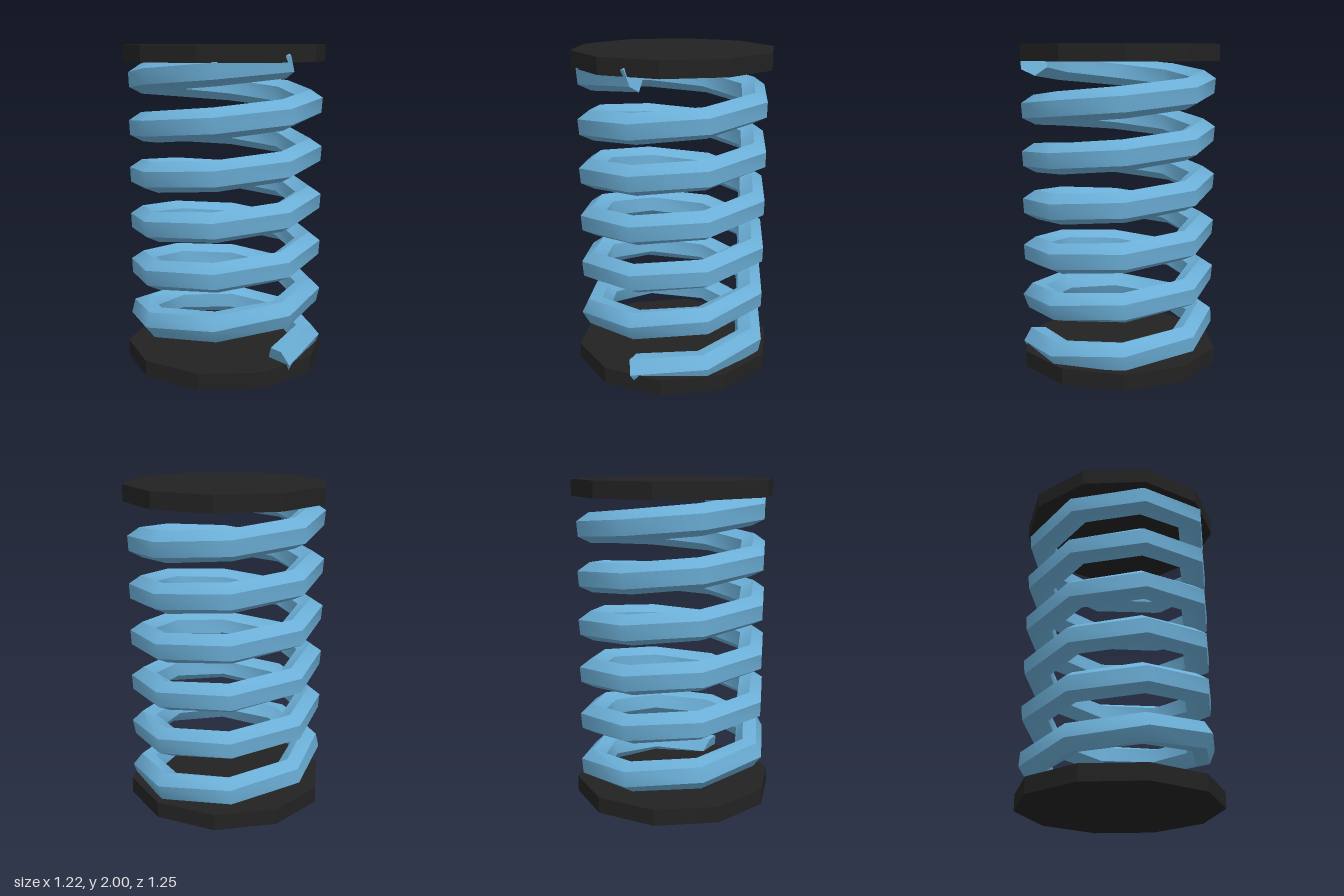
import * as THREE from 'three';
import { toCreasedNormals } from 'three/addons/utils/BufferGeometryUtils.js';

const plateColor = new THREE.MeshStandardMaterial({ name: 'charcoal', color: 0x222222 });
const coilColor = new THREE.MeshStandardMaterial({ name: 'springBlue', color: 0x6baed6 });

const TURNS = 6, STEPS = 8, SIDES = 6;      // eight straight runs per turn, six-sided wire
const COIL_R = 0.525, WIRE_R = 0.092, PITCH = 0.3, BASE = 0.1;

// Helical wire: hexagonal rings in radial planes, rolling over the first turn
function coilGeometry() {
  const rings = TURNS * STEPS, pos = [], index = [];
  for (let i = 0; i <= rings; i++) {
    const a = (i / STEPS) * Math.PI * 2;
    const roll = Math.min(a / (2.5 * Math.PI), 1) * THREE.MathUtils.degToRad(86);
    const slant = i === 0 || i === rings ? 0.35 : 0.1;
    for (let j = 0; j < SIDES; j++) {
      const t = roll + (j / SIDES) * Math.PI * 2;
      const r = COIL_R + WIRE_R * Math.cos(t);
      const up = WIRE_R * Math.sin(t);
      const back = slant * up;              // rings lean back against the climb
      pos.push(
        r * Math.cos(a) + back * Math.sin(a),
        BASE + PITCH * (i / STEPS) + up,
        -r * Math.sin(a) + back * Math.cos(a)
      );
    }
  }
  for (let i = 0; i < rings; i++) {
    for (let j = 0; j < SIDES; j++) {
      const k = (j + 1) % SIDES;
      const p = i * SIDES + j, q = i * SIDES + k;
      index.push(p, p + SIDES, q, p + SIDES, q + SIDES, q);
    }
  }
  // End caps
  const e = rings * SIDES;
  for (let j = 1; j < SIDES - 1; j++) {
    index.push(0, j, j + 1, e, e + j + 1, e + j);
  }
  const g = new THREE.BufferGeometry();
  g.setAttribute('position', new THREE.Float32BufferAttribute(pos, 3));
  g.setIndex(index);
  return toCreasedNormals(g, 0.9);
}

export function createModel() {
  const model = new THREE.Group();
  model.name = 'coilSpring';

  // Ten-sided end plates
  for (const [name, y] of [['bottomPlate', 0.05], ['topPlate', 1.95]]) {
    const geo = toCreasedNormals(new THREE.CylinderGeometry(0.625, 0.625, 0.1, 10), 0.5);
    const plate = new THREE.Mesh(geo, plateColor);
    plate.name = name;
    plate.position.set(-0.003, y, -0.002);
    model.add(plate);
  }

  const coil = new THREE.Mesh(coilGeometry(), coilColor);
  coil.name = 'coil';
  coil.position.set(-0.003, 0, 0);
  model.add(coil);

  return model;
}
